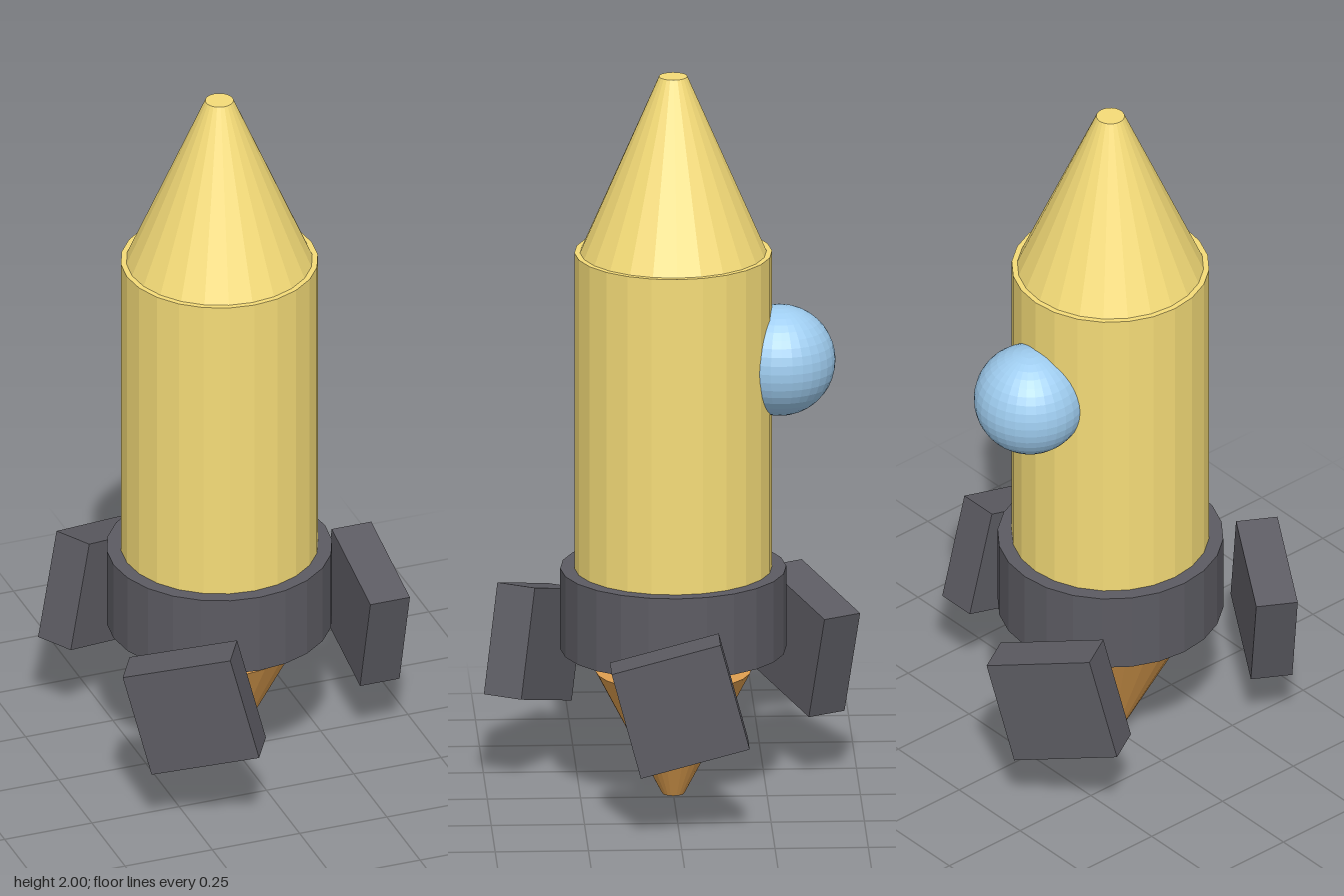
import * as THREE from 'three';

const SIDES = 24;
const AXIS_X = -0.04; // the rocket stands slightly off centre

const material = (color) => new THREE.MeshStandardMaterial({ color, flatShading: true });

export function createModel() {
  const yellow = material(0xf5dc78);
  const grey = material(0x5c5b62);
  const orange = material(0xe0a050);
  const blue = material(0x9fcdf0);

  const model = new THREE.Group();
  model.name = 'rocket';
  model.position.x = AXIS_X;

  // Round section between two heights
  const section = (name, rTop, rBottom, y0, y1, mat) => {
    const mesh = new THREE.Mesh(new THREE.CylinderGeometry(rTop, rBottom, y1 - y0, SIDES), mat);
    mesh.name = name;
    mesh.position.y = (y0 + y1) / 2;
    model.add(mesh);
  };

  section('noseCone', 0.038, 0.25, 1.51, 2, yellow);
  section('body', 0.265, 0.265, 0.5, 1.51, yellow);
  section('collar', 0.303, 0.303, 0.405, 0.63, grey);
  section('nozzle', 0.21, 0.03, 0, 0.345, orange);

  // Bubble window on the back
  const porthole = new THREE.Mesh(new THREE.SphereGeometry(0.15, 32, 20), blue);
  porthole.name = 'porthole';
  porthole.position.set(0, 1.205, -0.285);
  model.add(porthole);

  // Three tilted slab fins around the collar
  const finGeometry = new THREE.BoxGeometry(0.113, 0.302, 0.302);
  for (let i = 0; i < 3; i++) {
    const pivot = new THREE.Group();
    pivot.name = `fin${i + 1}`;
    pivot.rotation.y = (i * Math.PI * 2) / 3;
    const fin = new THREE.Mesh(finGeometry, grey);
    fin.name = 'finSlab';
    fin.position.set(0.419, 0.365, 0);
    fin.rotation.x = Math.PI / 12;
    pivot.add(fin);
    model.add(pivot);
  }

  const root = new THREE.Group();
  root.add(model);
  return root;
}
